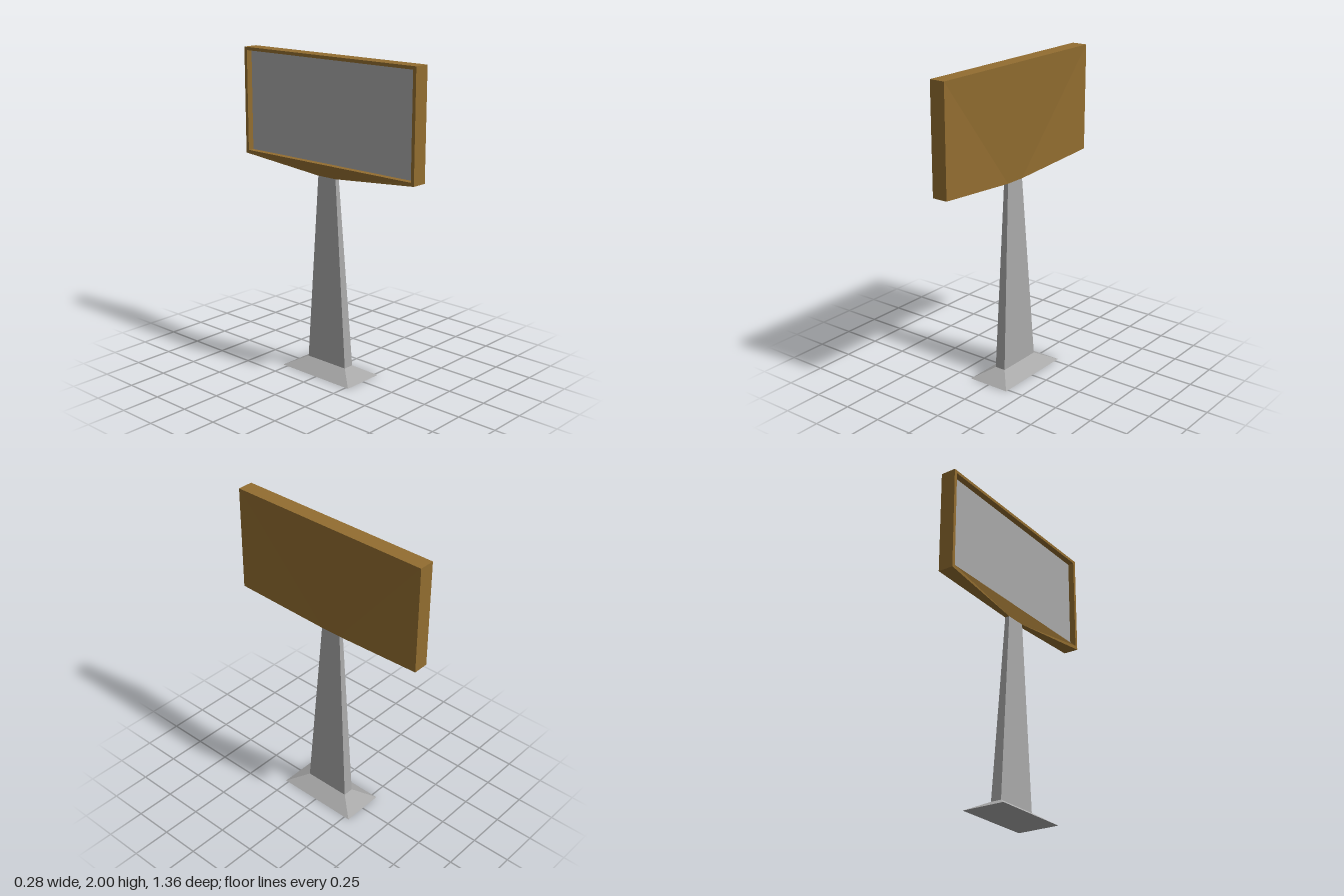
import * as THREE from 'three';

// Flat-shaded mesh from convex polygons, corners counter-clockwise from outside
function polyMesh(name, faces, material) {
  const pos = [];
  for (const f of faces)
    for (let i = 1; i < f.length - 1; i++) pos.push(...f[0], ...f[i], ...f[i + 1]);
  const geo = new THREE.BufferGeometry();
  geo.setAttribute('position', new THREE.Float32BufferAttribute(pos, 3));
  geo.computeVertexNormals();
  const mesh = new THREE.Mesh(geo, material);
  mesh.name = name;
  return mesh;
}

// Horizontal rectangle, counter-clockwise from above
const rect = (y, x0, x1, z0, z1) => [[x0, y, z1], [x1, y, z1], [x1, y, z0], [x0, y, z0]];

// Closed tapered block between two rectangles
function taper(name, lo, hi, material) {
  const faces = [hi, [...lo].reverse()];
  lo.forEach((p, i) => {
    const j = (i + 1) % 4;
    faces.push([p, lo[j], hi[j], hi[i]]);
  });
  return polyMesh(name, faces, material);
}

export function createModel() {
  const brown = new THREE.MeshStandardMaterial({ color: 0x926d30 });
  brown.name = 'brown frame';
  const grey = new THREE.MeshStandardMaterial({ color: 0xa8a8a8 });
  grey.name = 'grey metal';
  const group = new THREE.Group();
  group.name = 'billboard';

  // Foot and post
  const postBottom = rect(0.065, -0.035, 0.035, -0.16, 0.15);
  const postTop = rect(1.265, -0.03, 0, -0.075, 0.065);
  group.add(taper('foot', rect(0, -0.14, 0.14, -0.285, 0.27), postBottom, grey));
  group.add(taper('post', postBottom, postTop, grey));

  // Board outline; its lower edge narrows to the top of the post
  const outline = (x, neckX) => [
    [x, 2, 0.68], [x, 1.325, 0.68], [neckX, 1.265, 0.065],
    [neckX, 1.265, -0.075], [x, 1.325, -0.68], [x, 2, -0.68],
  ];
  const P = outline(0.045, 0);
  const Q = outline(-0.055, -0.03);
  // Opening corners, repeated at the neck to match the outline
  const opening = (x) => {
    const [a, b, c, d] = [[1.98, 0.658], [1.345, 0.658], [1.345, -0.658], [1.98, -0.658]]
      .map(([y, z]) => [x, y, z]);
    return [a, b, b, c, c, d];
  };
  const I = opening(-0.055);
  const J = opening(-0.015);

  // Plain side, outer edge, rim and recess walls
  const faces = [[P[0], P[1], P[2]], [P[0], P[2], P[3], P[5]], [P[3], P[4], P[5]]];
  for (let i = 0; i < 6; i++) {
    const j = (i + 1) % 6;
    faces.push([P[i], Q[i], Q[j], P[j]]);
    faces.push([Q[i], I[i], I[j], Q[j]]);
    if (I[i] !== I[j]) faces.push([I[i], J[i], J[j], I[j]]);
  }
  group.add(polyMesh('boardFrame', faces, brown));

  // Recessed display panel
  group.add(polyMesh('displayPanel', [[J[5], J[4], J[1], J[0]]], grey));
  return group;
}
